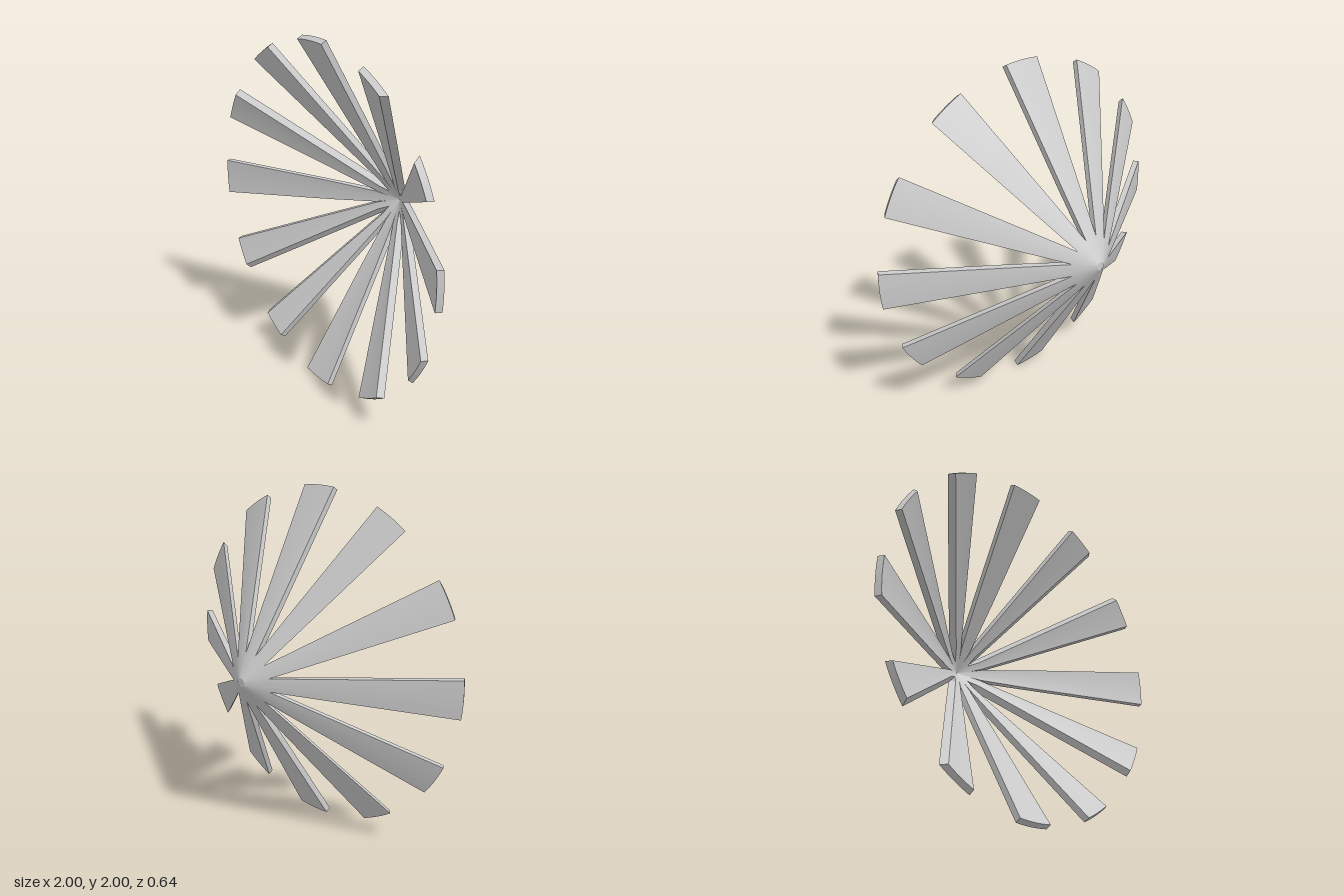
import * as THREE from 'three';
import { toCreasedNormals } from 'three/addons/utils/BufferGeometryUtils.js';

const BLADES = 12, COLS = 8;
const SLOPE = 0.6205;          // rise of the cone along z per unit of radius
const MERGE = 0.145;           // radius inside which neighbouring blades touch
const SECTOR = Math.PI / BLADES;

// radii along a blade: back (outer) skin, and front (inner) skin shifted by the thickness
const backRadii = [0, 0.025, 0.085, MERGE, 0.4, 0.7, 1];
const frontRadii = [0, 0.008, 0.068, 0.128, 0.383, 0.683, 0.983];
const backZ = r => r < 0.025 ? -0.32 : 0.285 - (1 - r) * SLOPE;
const frontZ = r => 0.316 - (0.983 - r) * SLOPE;

// half-angle of the blade at radius r, its straight edges spreading outwards
function halfAngle(r, along, shrink) {
  if (along <= MERGE && shrink === 0) return SECTOR;
  const w = 0.027 + 0.08 * along - shrink * Math.min(1, along / MERGE);
  return Math.min(SECTOR, Math.asin(Math.min(1, Math.max(0, w) / Math.max(r, 0.001))));
}

// a strip of a conical shell; the front skin is narrowed by cutMinus / cutPlus at its two edges
function bladeGeometry(angle, cutMinus, cutPlus) {
  const n = backRadii.length;
  const point = (j, k, front) => {
    const along = backRadii[k], r = front ? frontRadii[k] : along;
    const lo = -halfAngle(r, along, front ? cutMinus : 0);
    const hi = halfAngle(r, along, front ? cutPlus : 0);
    const a = angle + lo + (hi - lo) * j / COLS;
    return [r * Math.sin(a), r * Math.cos(a), front ? frontZ(r) : backZ(r)];
  };
  const pos = [];
  const quad = (a, b, c, d) => pos.push(...a, ...b, ...c, ...a, ...c, ...d);

  // skins and rim: out along the back, over the end and in along the front
  const ring = [];
  for (let k = 0; k < n; k++) ring.push([k, false]);
  for (let k = n - 1; k >= 0; k--) ring.push([k, true]);
  for (let j = 0; j < COLS; j++) {
    for (let i = 0; i < ring.length - 1; i++) {
      quad(point(j, ...ring[i]), point(j, ...ring[i + 1]),
        point(j + 1, ...ring[i + 1]), point(j + 1, ...ring[i]));
    }
  }
  // long side walls
  for (let k = 0; k < n - 1; k++) {
    const wall = j => [point(j, k, false), point(j, k + 1, false), point(j, k + 1, true), point(j, k, true)];
    quad(...wall(COLS));
    quad(...wall(0).reverse());
  }
  const geo = new THREE.BufferGeometry();
  geo.setAttribute('position', new THREE.Float32BufferAttribute(pos, 3));
  return toCreasedNormals(geo, 0.45);
}

export function createModel() {
  const group = new THREE.Group();
  group.name = 'conicalBladeFan';
  const material = new THREE.MeshStandardMaterial({ color: 0xcccccc, side: THREE.DoubleSide });

  // edges facing a diagonal are cut back more than those facing an axis
  const cuts = [[0, 0], [0.01, 0.026], [0.026, 0.01]];
  for (let i = 0; i < BLADES; i++) {
    const blade = new THREE.Mesh(bladeGeometry(i * 2 * SECTOR, ...cuts[i % 3]), material);
    blade.name = `blade${i + 1}`;
    blade.position.y = 1;
    group.add(blade);
  }
  return group;
}
